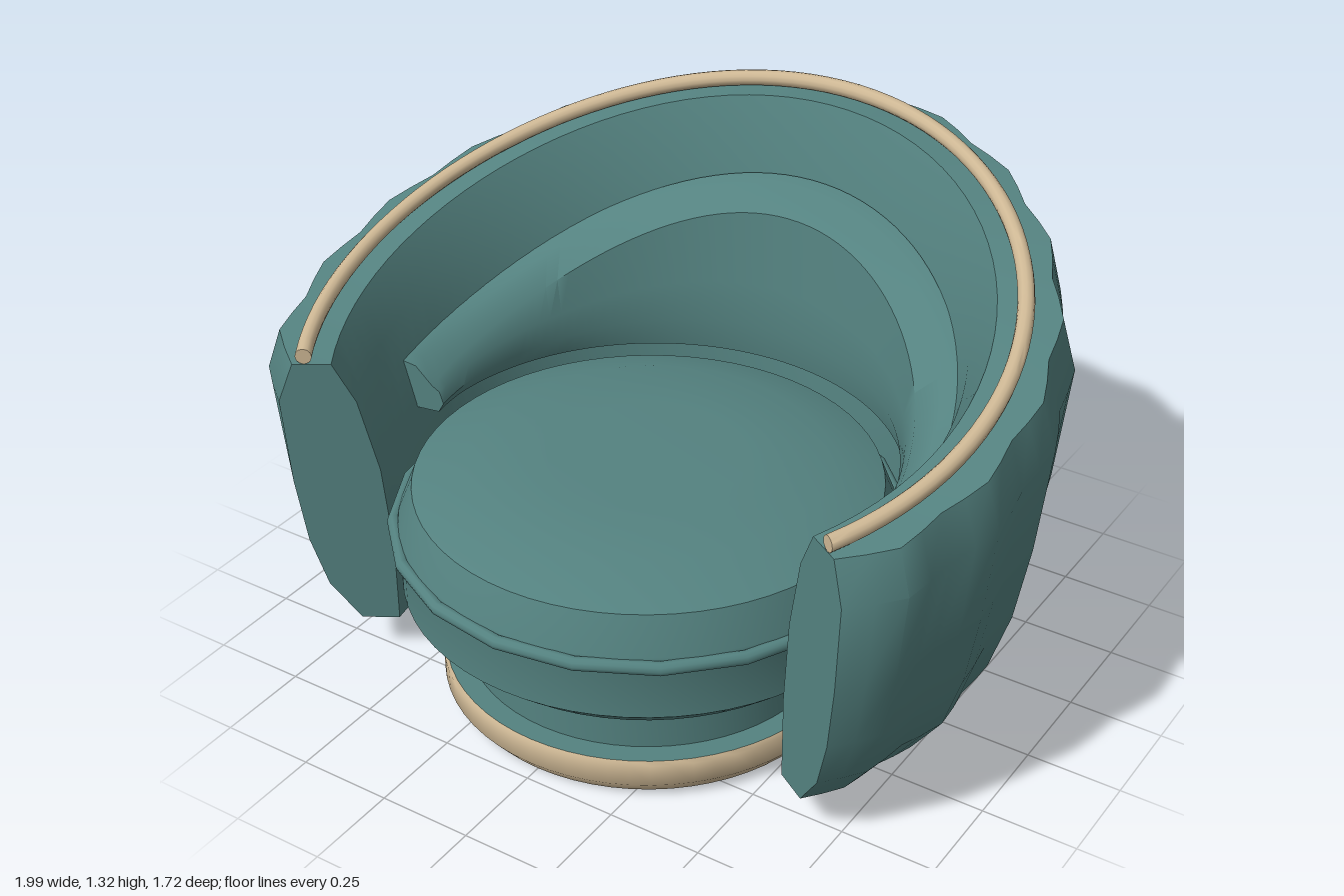
import * as THREE from 'three';
import { toCreasedNormals } from 'three/addons/utils/BufferGeometryUtils.js';

const SHELL_Z = 0.145; // centre of the curved back
const SEAT_Z = 0.2;    // centre of the seat and base
const END = THREE.MathUtils.degToRad(122); // half sweep of the shell
const FLUTES = 15;

// Rim height, rising towards the back (angle 0)
function rimHeight(a) {
  const c = Math.cos(a);
  return 0.981 + 0.227 * c + 0.065 * c * c;
}

// Sweeps a closed counter-clockwise [radius, y] section from -end to +end around the back
function sweep(section, end, steps, crease) {
  const pos = [], idx = [];
  let n = 0;
  const ends = [];
  for (let i = 0; i <= steps; i++) {
    const a = -end + (2 * end * i) / steps;
    const pts = section(a);
    n = pts.length;
    for (const [r, y] of pts) pos.push(r * Math.sin(a), y, SHELL_Z - r * Math.cos(a));
    if (i === 0 || i === steps) ends.push(pts.map(([r, y]) => new THREE.Vector2(r, y)));
  }
  for (let i = 0; i < steps; i++) {
    for (let j = 0; j < n; j++) {
      const k = (j + 1) % n;
      const a = i * n + j, b = i * n + k, c = b + n, d = a + n;
      idx.push(a, b, d, b, c, d);
    }
  }
  for (const [p, q, r] of THREE.ShapeUtils.triangulateShape(ends[0], [])) idx.push(p, r, q);
  const o = steps * n;
  for (const [p, q, r] of THREE.ShapeUtils.triangulateShape(ends[1], [])) idx.push(o + p, o + q, o + r);
  const g = new THREE.BufferGeometry();
  g.setAttribute('position', new THREE.Float32BufferAttribute(pos, 3));
  g.setIndex(idx);
  return toCreasedNormals(g, crease);
}

// Softly fluted outside, smooth inside; heights are fractions from bottom to rim
function shellSection(a) {
  const top = rimHeight(a), bottom = 0.11;
  const wave = 0.011 * (Math.cos((a / (2 * END)) * FLUTES * Math.PI * 2) - 1);
  const nearEnd = Math.max(0, 1 - (END - Math.abs(a)) * FLUTES / END);
  const tuck = 0.035 * Math.max(0, Math.cos(a)); // foot pulled in at the back
  const outer = [[0.805, 0], [0.89, 0.14], [0.94, 0.32], [0.975, 0.55], [1.005, 0.86], [0.967, 1]];
  const inner = [[0.81, 1], [0.75, 0.86], [0.695, 0.6], [0.665, 0.3], [0.655, 0]];
  const lift = (f) => bottom + (top - bottom) * f;
  return [
    ...outer.map(([r, f]) => [r * (1 + wave - 0.04 * nearEnd * f) - tuck * (1 - f) ** 2, lift(f)]),
    ...inner.map(([r, f]) => [r + 0.035 * nearEnd * (1 - f), lift(f)]),
  ];
}

// Crescent cushion, thickest and tallest at the back
function padSection(a) {
  const c = Math.cos(a);
  const top = 0.755 + 0.15 * c + 0.18 * c * c;
  const bottom = 0.6, h = top - bottom;
  const r = 0.615 - 0.035 * Math.max(0, c);
  return [
    [0.71, bottom], [0.735, top], [0.69, top - 0.01], [r + 0.03, top - 0.06],
    [r + 0.01, bottom + h * 0.45], [r, bottom + h * 0.2], [r + 0.015, bottom],
  ];
}

// Round cord lying on the rim
function cordSection(a) {
  const pts = [];
  for (let i = 0; i < 12; i++) {
    const t = (i / 12) * Math.PI * 2;
    pts.push([0.877 + 0.021 * Math.cos(t), rimHeight(a) + 0.022 + 0.021 * Math.sin(t)]);
  }
  return pts;
}

function lathe(points, crease = 0.5) {
  const g = new THREE.LatheGeometry(points.map(([r, y]) => new THREE.Vector2(r, y)), 64);
  return toCreasedNormals(g, crease);
}

export function createModel() {
  const fabric = new THREE.MeshStandardMaterial({ color: 0x548280 });
  fabric.name = 'teal fabric';
  const trim = new THREE.MeshStandardMaterial({ color: 0xcdb794 });
  trim.name = 'tan trim';

  const model = new THREE.Group();
  model.name = 'tubChair';
  const add = (name, geometry, material, z = 0) => {
    const mesh = new THREE.Mesh(geometry, material);
    mesh.name = name;
    mesh.position.z = z;
    model.add(mesh);
    return mesh;
  };

  // Wraparound back with rim cord and inner cushion
  add('shell', sweep(shellSection, END, FLUTES * 4, 0.75), fabric);
  add('rimCord', sweep(cordSection, END, 80, 0.8), trim);
  add('backCushion', sweep(padSection, THREE.MathUtils.degToRad(100), 64, 0.7), fabric);

  // Base: fabric covered core with a tan band around it
  add('baseBand', lathe([[0.505, 0], [0.537, 0.04], [0.537, 0.1], [0.53, 0.11]], 0.9), trim, SEAT_Z);
  add('basePlate', lathe([[0, 0], [0.505, 0]]), fabric, SEAT_Z);
  add('pedestal', lathe([[0.53, 0.11], [0.475, 0.11], [0.475, 0.28]]), fabric, SEAT_Z);

  // Round seat with a piped edge
  add('seatCushion', lathe([
    [0, 0.265], [0.565, 0.265], [0.63, 0.325], [0.63, 0.46], [0.635, 0.48], [0.63, 0.5],
    [0.592, 0.595], [0.45, 0.645], [0.25, 0.653], [0, 0.655],
  ]), fabric, SEAT_Z);
  const piping = add('seatPiping', new THREE.TorusGeometry(0.642, 0.018, 10, 20), fabric, SEAT_Z);
  piping.rotation.x = Math.PI / 2;
  piping.position.y = 0.478;

  return model;
}
